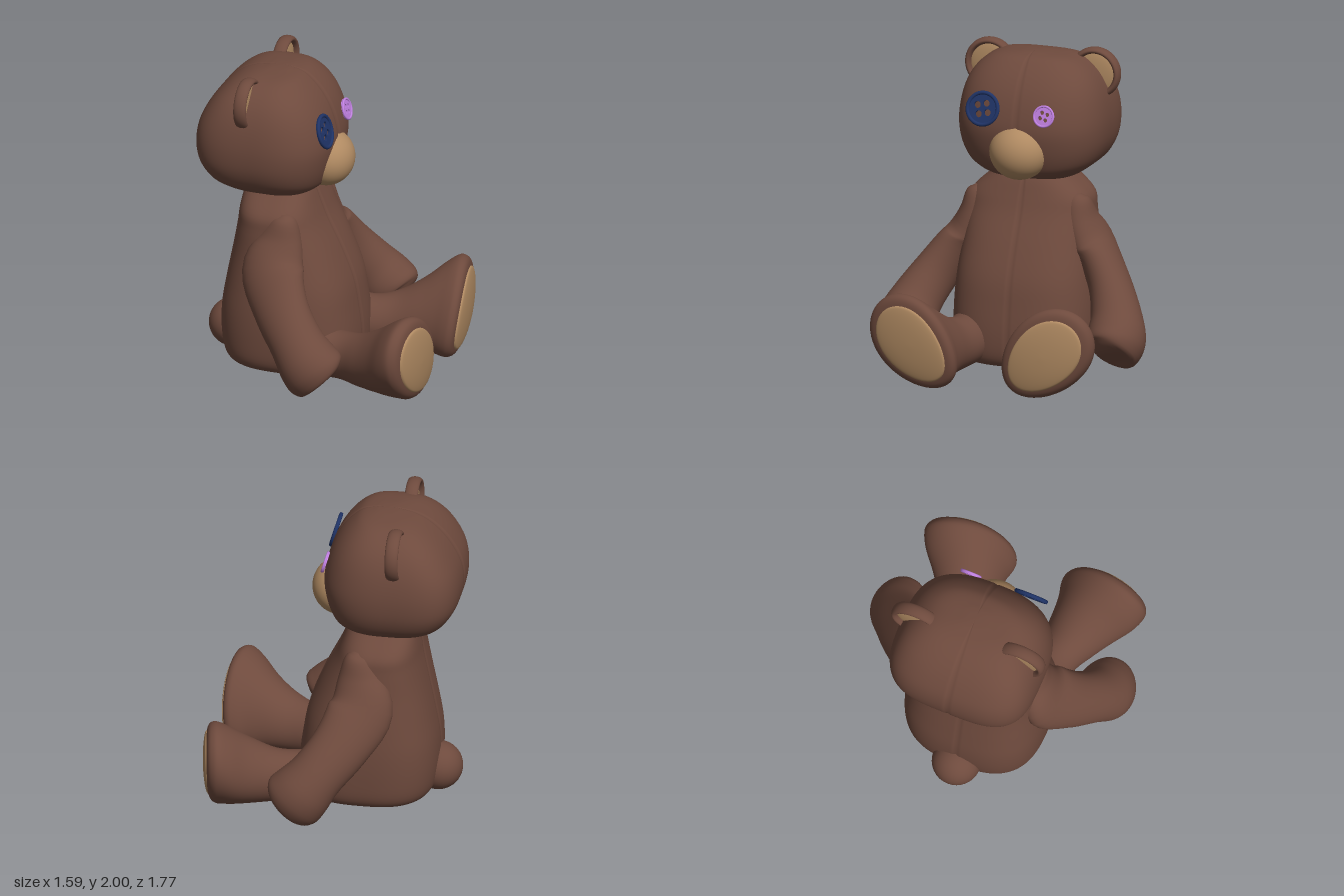
import * as THREE from 'three';

const mat = (color) => new THREE.MeshStandardMaterial({ color });
const fur = mat(0x6e4a3d), plush = mat(0xb08a62), navy = mat(0x1f3366), violet = mat(0xc080e0);
const SIDES = 160;

function add(parent, name, geometry, material) {
  const mesh = new THREE.Mesh(geometry, material);
  mesh.name = name;
  parent.add(mesh);
  return mesh;
}

// Smoothly resample rows of up to five numbers
function smooth(rows, n) {
  const curve = (k) => new THREE.CatmullRomCurve3(
    rows.map((r) => new THREE.Vector3(r[k] ?? 0, r[k + 1] ?? 0, r[k + 2] ?? 0)), false, 'catmullrom', 0.5);
  const a = curve(0), b = curve(3);
  return Array.from({ length: n + 1 }, (_, i) => [...a.getPoint(i / n).toArray(), ...b.getPoint(i / n).toArray()]);
}

// Closed skin over a list of equal-length rings
function loft(rings) {
  const n = rings[0].length, pos = [], idx = [];
  rings.forEach((ring) => ring.forEach((p) => pos.push(p.x, p.y, p.z)));
  for (let k = 0; k < rings.length - 1; k++) {
    for (let j = 0; j < n; j++) {
      const a = k * n + j, b = k * n + (j + 1) % n;
      idx.push(a, a + n, b, b, a + n, b + n);
    }
  }
  [0, rings.length - 1].forEach((k) => {
    const c = pos.length / 3;
    const m = rings[k].reduce((s, p) => s.add(p), new THREE.Vector3()).divideScalar(n);
    pos.push(m.x, m.y, m.z);
    for (let j = 0; j < n; j++) {
      const a = k * n + j, b = k * n + (j + 1) % n;
      if (k === 0) idx.push(c, a, b); else idx.push(c, b, a);
    }
  });
  const g = new THREE.BufferGeometry();
  g.setAttribute('position', new THREE.Float32BufferAttribute(pos, 3));
  g.setIndex(idx);
  g.computeVertexNormals();
  return g;
}

// Stack of rounded-square sections [y, xBack, xFront, halfWidth] with a stitched centre groove
function stuffed(rows, frontPower, backPower) {
  return loft(smooth(rows, 48).map(([y, x0, x1, hz]) => Array.from({ length: SIDES }, (_, j) => {
    const t = j / SIDES * Math.PI * 2, c = Math.cos(t), s = Math.sin(t);
    const power = c > 0 ? frontPower : backPower;
    const r = 1 / Math.pow(Math.abs(c) ** power + Math.abs(s) ** power, 1 / power);
    const dip = j % (SIDES / 2) === 0 ? 0.007 : 0;
    return new THREE.Vector3((x0 + x1) / 2 + ((x1 - x0) / 2 - dip) * r * c, y - dip * 0.3, hz * r * s);
  })));
}

// Leg sections [x, y, z, long radius, short radius]: egg shapes leaning outward, ending in a domed sole
function limbAlongX(rows, n) {
  const k = Math.SQRT1_2;
  return loft(smooth(rows, n).map(([x, y, z, a, b]) => Array.from({ length: 64 }, (_, j) => {
    const foot = THREE.MathUtils.smoothstep(x, 0.2, 0.65);
    const t = j / 64 * Math.PI * 2, u = a * Math.cos(t), v = b * Math.sin(t) * (1 + 0.12 * foot * Math.cos(t));
    const dz = (u - v) * k, dy = (u + v) * k;
    const bend = 0.11 * dz - 0.06 * dy + 0.35 * (dz * dz + dy * dy);
    return new THREE.Vector3(x - foot * bend, Math.max(y + dy, 0.005), z + dz);
  })));
}

// Arm sections [x, y, z, depth radius, side radius], set square to the path
function armGeometry(rows) {
  const path = smooth(rows, 40).map((r) => ({ c: new THREE.Vector3(r[0], r[1], r[2]), a: r[3], b: r[4] }));
  return loft(path.map(({ c, a, b }, i) => {
    const t = path[Math.min(i + 1, 40)].c.clone().sub(path[Math.max(i - 1, 0)].c).normalize();
    const p = new THREE.Vector3(0, 0, 1).cross(t).normalize();
    const q = p.clone().cross(t);
    return Array.from({ length: 40 }, (_, j) => {
      const w = j / 40 * Math.PI * 2;
      return c.clone().addScaledVector(p, a * Math.cos(w)).addScaledVector(q, b * Math.sin(w));
    });
  }));
}

// Round button with four holes and a raised rim, facing +z
function button(name, radius, material, turn) {
  const g = new THREE.Group();
  g.name = name;
  const disc = new THREE.Shape().absarc(0, 0, radius * 0.95, 0, Math.PI * 2);
  for (let i = 0; i < 4; i++) {
    const a = turn + i * Math.PI / 2;
    disc.holes.push(new THREE.Path().absarc(Math.cos(a) * radius * 0.37, Math.sin(a) * radius * 0.37, radius * 0.19, 0, Math.PI * 2, true));
  }
  add(g, 'buttonDisc', new THREE.ExtrudeGeometry(disc, { depth: 0.014, bevelEnabled: false, curveSegments: 24 }), material);
  add(g, 'buttonRim', new THREE.TorusGeometry(radius * 0.89, radius * 0.11, 10, 48), material).position.z = 0.012;
  return g;
}

export function createModel() {
  const bear = new THREE.Group();
  bear.name = 'teddyBear';

  add(bear, 'body', stuffed([
    [0.03, -0.5, 0.1, 0.3], [0.045, -0.58, 0.19, 0.39], [0.11, -0.625, 0.23, 0.44], [0.25, -0.645, 0.235, 0.455],
    [0.42, -0.64, 0.215, 0.455], [0.6, -0.61, 0.18, 0.44], [0.8, -0.57, 0.1, 0.415], [0.98, -0.535, 0.01, 0.4],
    [1.09, -0.52, -0.035, 0.38], [1.2, -0.5, -0.08, 0.265], [1.27, -0.45, -0.13, 0.2],
  ], 2.8, 2.8), fur);

  add(bear, 'head', stuffed([
    [1.19, -0.48, -0.16, 0.2], [1.205, -0.57, -0.07, 0.28], [1.25, -0.66, 0.0, 0.355], [1.31, -0.72, 0.035, 0.42],
    [1.41, -0.775, 0.065, 0.465], [1.53, -0.79, 0.08, 0.48], [1.65, -0.77, 0.06, 0.47], [1.76, -0.715, 0.02, 0.44],
    [1.85, -0.645, -0.035, 0.39], [1.92, -0.56, -0.1, 0.315], [1.96, -0.47, -0.16, 0.22], [1.98, -0.36, -0.25, 0.06],
  ], 2.7, 3.5), fur);

  const muzzle = add(bear, 'muzzle', new THREE.SphereGeometry(1, 48, 32), plush);
  muzzle.scale.set(0.178, 0.182, 0.19);
  muzzle.position.set(-0.005, 1.395, 0);

  const tail = add(bear, 'tail', new THREE.SphereGeometry(0.155, 32, 24), fur);
  tail.position.set(-0.625, 0.172, 0);

  // Ears: a slim, deep ring around a plush lining
  [['leftEar', 0.342], ['rightEar', -0.36]].forEach(([name, z]) => {
    const ear = new THREE.Group();
    ear.name = name;
    add(ear, 'earRing', new THREE.TorusGeometry(0.144, 0.021, 20, 64), fur).scale.z = 2;
    add(ear, 'earLining', new THREE.SphereGeometry(1, 40, 20), plush).scale.set(0.14, 0.14, 0.025);
    ear.position.set(-0.41, 1.835, z);
    ear.rotation.y = Math.PI / 2;
    bear.add(ear);
  });

  // Mismatched button eyes
  [['largeButtonEye', 0.113, navy, 0.22, 1.662, 1.0], ['smallButtonEye', 0.071, violet, -0.187, 1.648, 0.5]]
    .forEach(([name, r, m, z, y, turn]) => {
      const eye = button(name, r, m, turn);
      eye.rotation.set(-0.28, Math.PI / 2, 0, 'YXZ');
      eye.position.set(0.052, y, z);
      bear.add(eye);
    });

  // Limbs, mirrored
  const arm = armGeometry([
    [-0.17, 1.11, 0.32, 0.03, 0.03], [-0.17, 1.06, 0.325, 0.09, 0.085], [-0.19, 0.92, 0.35, 0.15, 0.11],
    [-0.205, 0.75, 0.44, 0.205, 0.125], [-0.1, 0.56, 0.57, 0.185, 0.135], [0.03, 0.4, 0.66, 0.175, 0.16],
    [0.12, 0.29, 0.695, 0.195, 0.185], [0.18, 0.22, 0.7, 0.2, 0.17], [0.21, 0.187, 0.695, 0.15, 0.12], [0.217, 0.178, 0.695, 0.02, 0.02],
  ]);
  const leg = limbAlongX([
    [-0.35, 0.2, 0.24, 0.15, 0.15], [0, 0.2, 0.27, 0.172, 0.168], [0.2, 0.192, 0.295, 0.16, 0.152], [0.35, 0.2, 0.35, 0.185, 0.165],
    [0.5, 0.235, 0.395, 0.235, 0.2], [0.62, 0.27, 0.43, 0.295, 0.23], [0.7, 0.288, 0.44, 0.333, 0.245],
    [0.745, 0.29, 0.44, 0.333, 0.245], [0.772, 0.29, 0.44, 0.3, 0.215], [0.774, 0.29, 0.44, 0.2, 0.14],
  ], 45);
  const sole = limbAlongX([
    [0.755, 0.287, 0.44, 0.278, 0.194], [0.778, 0.287, 0.44, 0.274, 0.19], [0.786, 0.287, 0.44, 0.25, 0.17],
    [0.79, 0.287, 0.44, 0.16, 0.11], [0.791, 0.287, 0.44, 0.02, 0.015],
  ], 16);
  [['left', 1], ['right', -1]].forEach(([side, s]) => {
    const limbs = new THREE.Group();
    limbs.name = side + 'Limbs';
    limbs.scale.z = s;
    add(limbs, side + 'Arm', arm, fur);
    add(limbs, side + 'Leg', leg, fur);
    add(limbs, side + 'SolePad', sole, plush);
    bear.add(limbs);
  });

  return bear;
}
